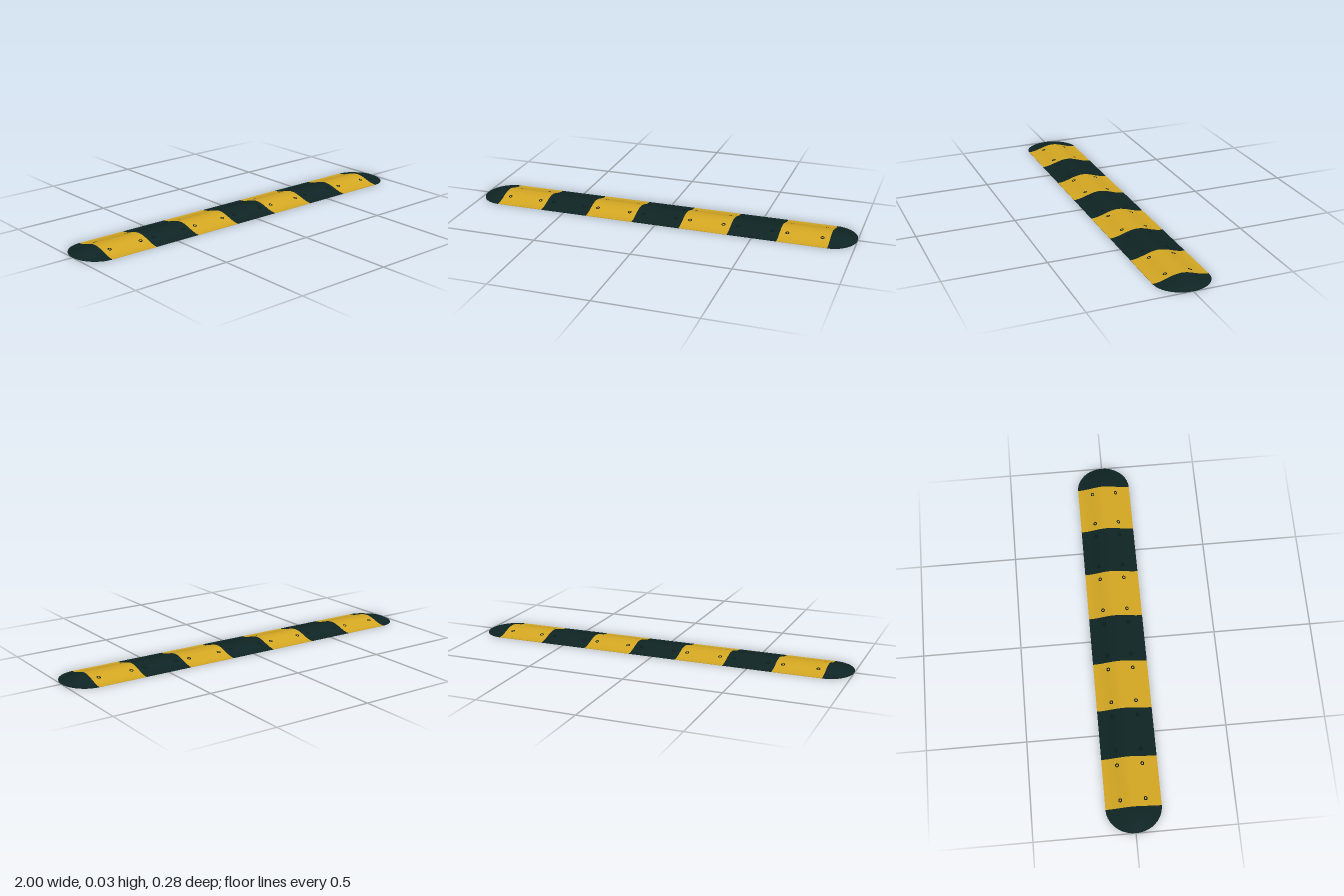
import * as THREE from 'three';
import { toCreasedNormals } from 'three/addons/utils/BufferGeometryUtils.js';

const HALF_WIDTH = 0.138, RIM = 0.002, RISE = 0.029, PITCH = 0.25, STEPS = 32;

const material = (name, color) => {
  const m = new THREE.MeshStandardMaterial({ color });
  m.name = name;
  return m;
};

// Bell-shaped hump, u runs from -1 to 1 across the width
const bell = (u) => 0.5 + 0.5 * Math.cos(Math.PI * u);

// Cross-section extruded along x; a hollow one has a cavity open to the ground
function section(length, hollow) {
  const shape = new THREE.Shape();
  shape.moveTo(-HALF_WIDTH, 0);
  for (let i = 0; i <= STEPS; i++) {
    const u = (2 * i) / STEPS - 1;
    shape.lineTo(u * HALF_WIDTH, RIM + RISE * bell(u));
  }
  shape.lineTo(HALF_WIDTH, 0);
  if (hollow) {
    for (let i = 0; i <= STEPS; i++) {
      const u = 1 - (2 * i) / STEPS;
      shape.lineTo(u * 0.118, 0.023 * bell(u));
    }
  }
  const geometry = new THREE.ExtrudeGeometry(shape, { depth: length, bevelEnabled: false });
  geometry.translate(0, 0, -length / 2).rotateY(Math.PI / 2);
  return toCreasedNormals(geometry, 0.4);
}

// Rounded end that narrows and sinks towards its tip
function capGeometry() {
  const rows = 10, ring = STEPS + 3, positions = [], index = [];
  for (let i = 0; i <= rows; i++) {
    const a = (i / rows) * Math.PI / 2;
    const x = 0.875 + 0.125 * Math.sin(a);
    const w = HALF_WIDTH * Math.cos(a), h = RISE * Math.cos(a) ** 2;
    for (let j = 0; j <= STEPS; j++) {
      const u = (2 * j) / STEPS - 1;
      positions.push(x, RIM + h * bell(u), u * w);
    }
    positions.push(x, 0, w, x, 0, -w);
  }
  for (let i = 0; i < rows; i++) {
    for (let j = 0; j < ring; j++) {
      const a = i * ring + j, b = i * ring + (j + 1) % ring;
      index.push(a, b, a + ring, b, b + ring, a + ring);
    }
  }
  const geometry = new THREE.BufferGeometry();
  geometry.setAttribute('position', new THREE.Float32BufferAttribute(positions, 3));
  geometry.setIndex(index);
  return toCreasedNormals(geometry, 0.5);
}

export function createModel() {
  const model = new THREE.Group();
  model.name = 'speedBump';
  const yellow = material('safetyYellow', 0xd4a722);
  const black = material('blackRubber', 0x0f2424);
  const dark = material('boltHoleDark', 0x0a1515);

  const add = (parent, name, geometry, mat) => {
    const mesh = new THREE.Mesh(geometry, mat);
    mesh.name = name;
    parent.add(mesh);
    return mesh;
  };

  const wall = 0.008;
  const shell = section(PITCH - 2 * wall, true);
  const endWall = section(wall, false);
  const hole = new THREE.RingGeometry(0.005, 0.01, 16);

  // Seven alternating segments
  for (let k = -3; k <= 3; k++) {
    const paint = k % 2 ? yellow : black;
    const segment = new THREE.Group();
    segment.name = k % 2 ? 'yellowSegment' : 'blackSegment';
    segment.position.x = k * PITCH;
    model.add(segment);
    add(segment, 'segmentShell', shell, paint);

    for (const sx of [-1, 1]) {
      add(segment, 'segmentEndWall', endWall, paint).position.x = sx * (PITCH - wall) / 2;
      // Bolt hole rims lying on the slopes
      for (const sz of [-1, 1]) {
        const z = 0.0625, tilt = 0.315;
        const y = RIM + RISE * bell(z / HALF_WIDTH);
        const rim = add(segment, 'boltHoleRim', hole, dark);
        rim.position.set(sx * 0.0875, y + 0.001, sz * z);
        rim.rotation.x = -Math.PI / 2 + sz * tilt;
      }
    }
  }

  // Rounded ends
  const cap = capGeometry();
  add(model, 'leftEndCap', cap, black);
  add(model, 'rightEndCap', cap, black).rotation.y = Math.PI;

  return model;
}
